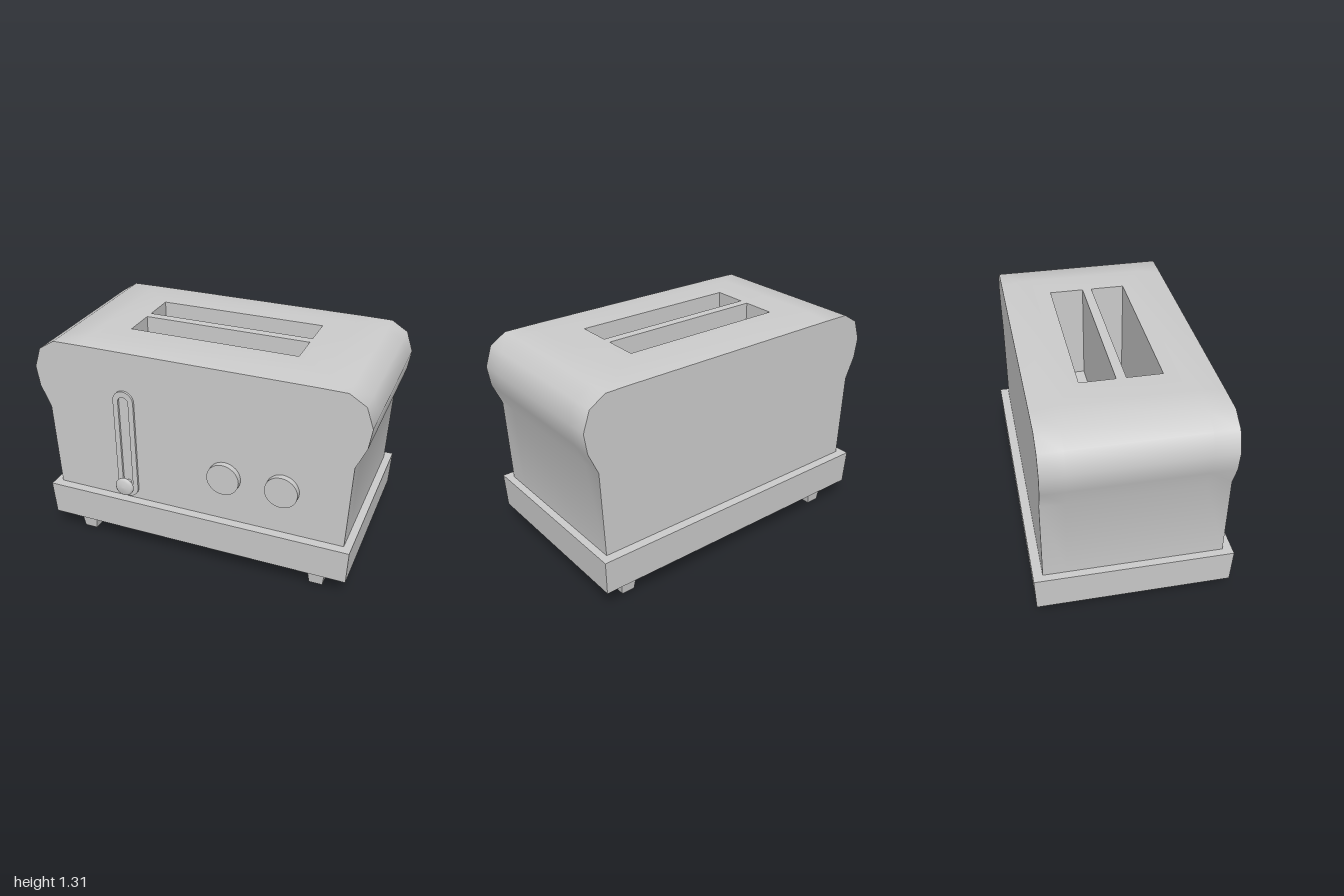
import * as THREE from 'three';
import { mergeGeometries, toCreasedNormals } from 'three/addons/utils/BufferGeometryUtils.js';

const material = new THREE.MeshStandardMaterial({ color: 0xcccccc });
const FRONT = 0.5, BACK = -0.525;
const ROOF = { x: 0.69, y: 1.31, front: 0.36, back: -0.39 };
const SLOTS = [[-0.24, -0.04], [0.015, 0.215]];
const SLOT_X = 0.507, SLOT_DEPTH = 0.6;

// Side outline of the body, bottom to roof
const HALF = [[0.9, 0.34], [0.922, 0.86], [0.98, 0.99], [0.998, 1.11], [0.957, 1.23], [0.86, 1.29], [ROOF.x, ROOF.y]];

// Full outline, left foot over the roof to the right foot; the roof dips at the ends
function outline(end) {
  const half = HALF.map(([x, y]) => [x, end ? Math.min(y, 1.292) : y]);
  return [...half, ...half.slice().reverse().map(([x, y]) => [-x, y])];
}

function add(parent, name, geometry, x = 0, y = 0, z = 0) {
  const mesh = new THREE.Mesh(geometry, material);
  mesh.name = name;
  mesh.position.set(x, y, z);
  parent.add(mesh);
  return mesh;
}

// Box whose bottom face is scaled down, standing on y = 0
function taperedBox(w, h, d, sx, sz) {
  const g = new THREE.BoxGeometry(w, h, d).translate(0, h / 2, 0);
  const p = g.attributes.position;
  for (let i = 0; i < p.count; i++) {
    if (p.getY(i) < h / 2) p.setXYZ(i, p.getX(i) * sx, 0, p.getZ(i) * sz);
  }
  const flat = g.toNonIndexed();
  flat.computeVertexNormals();
  return flat;
}

function rectangle(target, x0, x1, y0, y1) {
  target.moveTo(x0, y0).lineTo(x1, y0).lineTo(x1, y1).lineTo(x0, y1).closePath();
  return target;
}

function stadium(target, r, bottom, top) {
  target.moveTo(r, bottom + r);
  target.lineTo(r, top - r);
  target.absarc(0, top - r, r, 0, Math.PI, false);
  target.lineTo(-r, bottom + r);
  target.absarc(0, bottom + r, r, Math.PI, Math.PI * 2, false);
  return target;
}

function bodyGeometry() {
  // Skin swept from back to front, leaving the roof panel open
  const zs = [BACK, ROOF.back, ROOF.front, FRONT];
  const rings = zs.map((z, i) => outline(i === 0 || i === 3).map(([x, y]) => [x, y, z]));
  const pos = [];
  const middle = HALF.length - 1;
  for (let i = 0; i < 3; i++) {
    for (let j = 0; j < rings[0].length - 1; j++) {
      if (i === 1 && j === middle) continue;
      const a = rings[i][j], b = rings[i][j + 1], c = rings[i + 1][j + 1], d = rings[i + 1][j];
      pos.push(...a, ...b, ...c, ...a, ...c, ...d);
    }
  }
  const skin = new THREE.BufferGeometry();
  skin.setAttribute('position', new THREE.Float32BufferAttribute(pos, 3));

  // Roof panel with the two slot openings
  const roofShape = rectangle(new THREE.Shape(), -ROOF.x, ROOF.x, -ROOF.front, -ROOF.back);
  for (const [z0, z1] of SLOTS) {
    roofShape.holes.push(rectangle(new THREE.Path(), -SLOT_X, SLOT_X, -z1, -z0));
  }
  const roof = new THREE.ShapeGeometry(roofShape).rotateX(-Math.PI / 2).translate(0, ROOF.y, 0);

  // Front and back walls
  const wallShape = new THREE.Shape(outline(true).map(([x, y]) => new THREE.Vector2(x, y)));
  const front = new THREE.ShapeGeometry(wallShape).translate(0, 0, FRONT);
  const back = new THREE.ShapeGeometry(wallShape).rotateY(Math.PI).translate(0, 0, BACK);

  const parts = [skin, roof, front, back].map((g) => {
    const plain = g.index ? g.toNonIndexed() : g;
    plain.deleteAttribute('uv');
    plain.computeVertexNormals();
    return plain;
  });
  return toCreasedNormals(mergeGeometries(parts), 0.8);
}

// Open-topped well seen from the inside
function slotGeometry(depth) {
  const g = new THREE.BoxGeometry(SLOT_X * 2, SLOT_DEPTH, depth);
  const kept = [];
  for (let i = 0; i < g.index.count; i += 3) {
    if (Math.floor(i / 6) === 2) continue; // top face
    kept.push(g.index.getX(i), g.index.getX(i + 2), g.index.getX(i + 1));
  }
  g.setIndex(kept);
  g.computeVertexNormals();
  return g;
}

export function createModel() {
  const model = new THREE.Group();
  model.name = 'toaster';

  add(model, 'body', bodyGeometry());
  for (const [z0, z1] of SLOTS) {
    add(model, 'breadSlot', slotGeometry(z1 - z0), 0, ROOF.y - SLOT_DEPTH / 2, (z0 + z1) / 2);
  }

  // Base tray and feet
  add(model, 'base', taperedBox(1.89, 0.21, 1.135, 0.99, 0.985), 0, 0.13, -0.0125);
  for (const x of [-0.75, 0.745]) {
    for (const z of [0.423, -0.448]) {
      add(model, 'foot', taperedBox(0.115, 0.13, 0.115, 0.7, 0.7), x, 0, z);
    }
  }

  // Lever track, stem and knob
  const lever = new THREE.Group();
  lever.name = 'lever';
  lever.position.set(-0.43, 0, FRONT);
  model.add(lever);
  const track = stadium(new THREE.Shape(), 0.064, 0.353, 1.056);
  track.holes.push(stadium(new THREE.Path(), 0.032, 0.39, 1.02));
  add(lever, 'leverTrack', new THREE.ExtrudeGeometry(track, { depth: 0.014, bevelEnabled: false, curveSegments: 12 }));
  const stem = new THREE.CylinderGeometry(0.017, 0.017, 0.05, 16, 1, true).rotateX(Math.PI / 2);
  add(lever, 'leverStem', stem, 0, 0.444, 0.025);
  const knobProfile = [[0, 0.045], [0.05, 0.045], [0.057, 0.052], [0.057, 0.064], [0.045, 0.077], [0, 0.08]]
    .map(([r, h]) => new THREE.Vector2(r, h));
  const knob = new THREE.LatheGeometry(knobProfile, 24).rotateX(Math.PI / 2);
  add(lever, 'leverKnob', knob, 0, 0.444, 0);

  // Control dials
  for (const x of [0.187, 0.533]) {
    const dial = new THREE.CylinderGeometry(0.097, 0.097, 0.035, 32).rotateX(Math.PI / 2);
    add(model, 'dial', dial, x, 0.627, FRONT + 0.0175);
  }
  return model;
}
